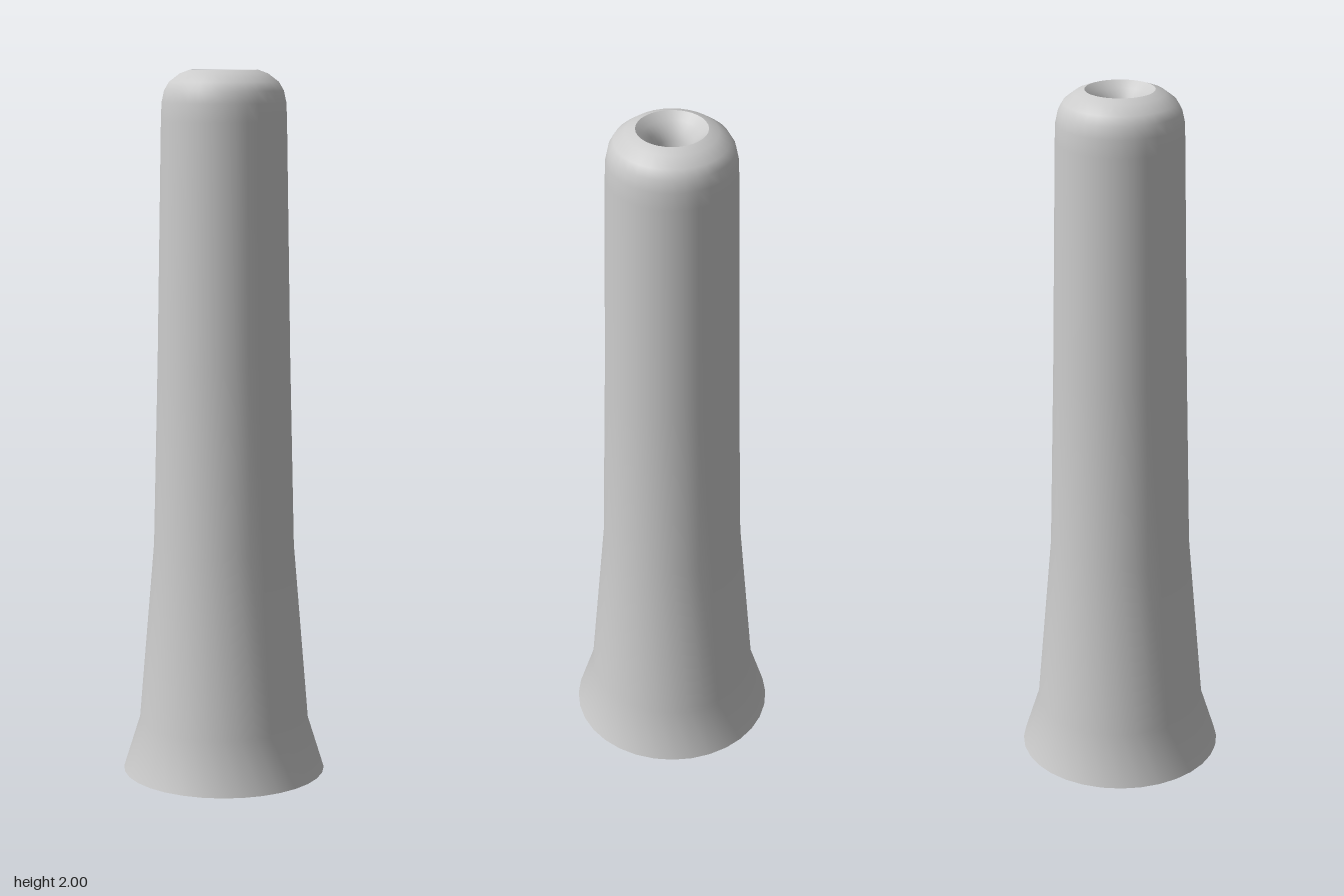
import * as THREE from 'three';

const SEGMENTS = 32;

// Revolve a profile of [radius, height] pairs around the y axis
function turned(name, profile, material) {
  const points = profile.map(([r, y]) => new THREE.Vector2(r, y));
  const mesh = new THREE.Mesh(new THREE.LatheGeometry(points, SEGMENTS), material);
  mesh.name = name;
  return mesh;
}

export function createModel() {
  const group = new THREE.Group();
  group.name = 'flaredSleeve';
  const material = new THREE.MeshStandardMaterial({ color: 0xcccccc, side: THREE.DoubleSide });

  // Thin hollow body: open flared foot, slow taper, rounded shoulder
  group.add(turned('body', [
    [0.29, 0], [0.243, 0.15], [0.2, 0.66], [0.187, 1.2], [0.175, 1.86],
    [0.173, 1.91], [0.166, 1.943], [0.152, 1.967], [0.122, 1.99], [0.095, 2],
  ], material));

  // Funnel mouth sinking from the rim into a short narrow bore
  group.add(turned('mouth', [
    [0.095, 2], [0.075, 1.982], [0.058, 1.96], [0.049, 1.935], [0.043, 1.9], [0.043, 1.86],
  ], material));

  return group;
}
